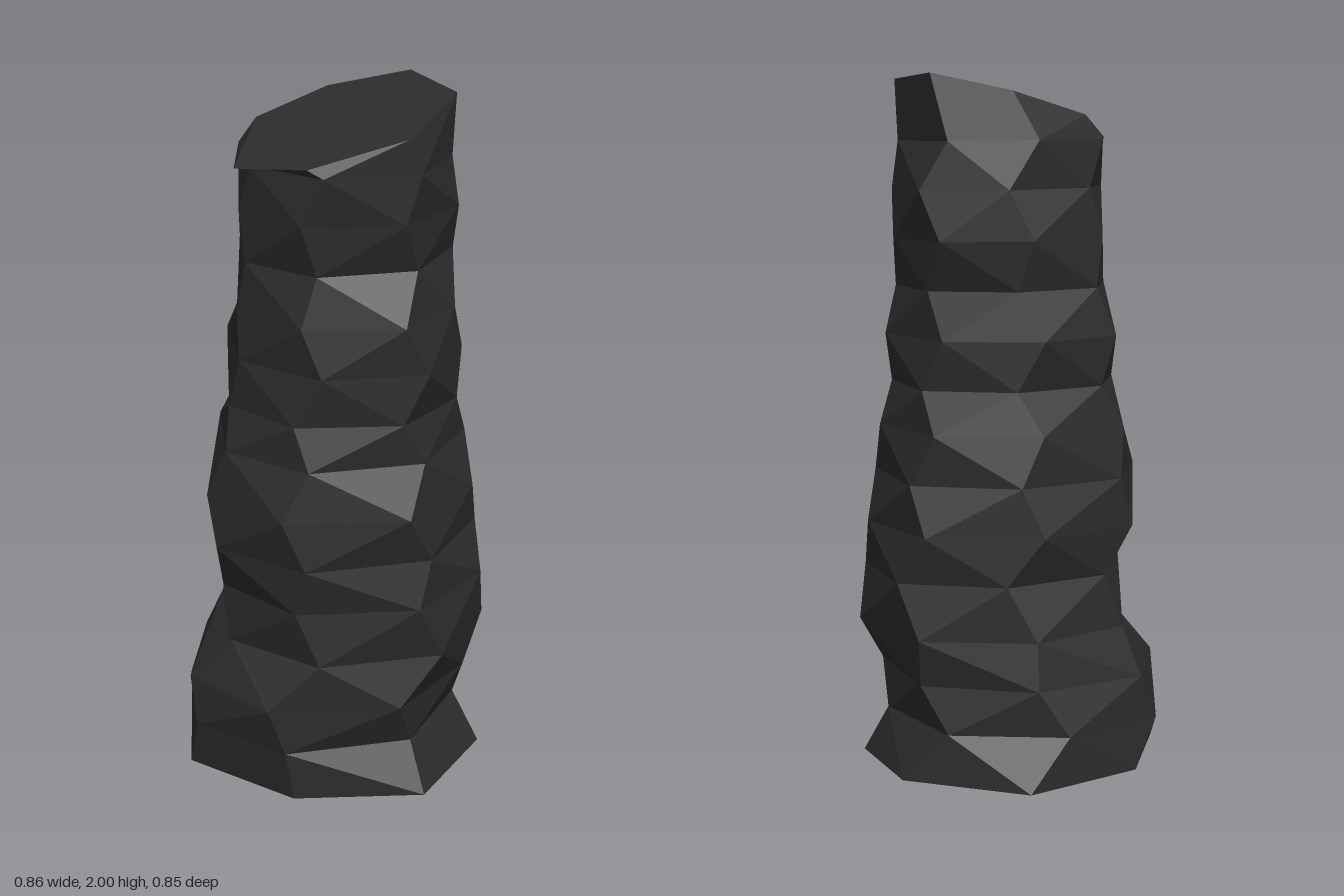
import * as THREE from 'three';

const SIDES = 7;
const ANGLES = [-13, 45, 95, 149, 195, 248, 297];
const TWIST = 10; // every second ring is turned by this many degrees

// Foot and cut top outlines as [x, z]
const FOOT = [[0.425, -0.02], [0.275, 0.315], [-0.09, 0.42], [-0.365, 0.17], [-0.41, -0.2], [-0.1, -0.425], [0.285, -0.39]];
const TOP = [[0.21, 0.085], [0.13, 0.32], [-0.13, 0.378], [-0.345, 0.21], [-0.395, -0.01], [-0.14, -0.175], [0.07, -0.1]];

// Rings between them: height, then extents [y, xMin, xMax, zMin, zMax]
const RINGS = [
  [0.165, -0.43, 0.36, -0.42, 0.35],
  [0.295, -0.425, 0.375, -0.42, 0.375],
  [0.43, -0.365, 0.40, -0.34, 0.42],
  [0.585, -0.365, 0.40, -0.32, 0.405],
  [0.72, -0.41, 0.38, -0.34, 0.405],
  [0.86, -0.41, 0.36, -0.34, 0.405],
  [1.0, -0.385, 0.33, -0.305, 0.385],
  [1.12, -0.355, 0.295, -0.27, 0.365],
  [1.26, -0.35, 0.275, -0.28, 0.405],
  [1.395, -0.345, 0.25, -0.24, 0.38],
  [1.535, -0.335, 0.275, -0.235, 0.35],
  [1.675, -0.345, 0.275, -0.22, 0.37],
  [1.81, -0.35, 0.21, -0.205, 0.395],
];

// Rings lean slightly up towards the back and the left
const tilted = (x, y, z) => [x, Math.max(0, y + 0.03 * x - 0.05 * z), z];

// Seven-sided ring stretched to fill the given extents
function ringPoints([y, x0, x1, z0, z1], turn) {
  const raw = ANGLES.map((a) => {
    const t = THREE.MathUtils.degToRad(a + turn);
    return [Math.cos(t), Math.sin(t)];
  });
  const fit = (v, axis, lo, hi) => {
    const all = raw.map((p) => p[axis]);
    return THREE.MathUtils.mapLinear(v, Math.min(...all), Math.max(...all), lo, hi);
  };
  return raw.map(([x, z]) => tilted(fit(x, 0, x0, x1), y, fit(z, 1, z0, z1)));
}

function buildGeometry(points, index) {
  const g = new THREE.BufferGeometry();
  g.setAttribute('position', new THREE.Float32BufferAttribute(points.flat(), 3));
  g.setIndex(index);
  const flat = g.toNonIndexed();
  flat.computeVertexNormals();
  return flat;
}

// Flat end face as a fan around its middle
function cap(ring, up) {
  const middle = [0, 1, 2].map((k) => ring.reduce((s, p) => s + p[k], 0) / SIDES);
  const index = [];
  for (let i = 0; i < SIDES; i++) {
    const j = (i + 1) % SIDES;
    index.push(SIDES, ...(up ? [j, i] : [i, j]));
  }
  return buildGeometry([...ring, middle], index);
}

export function createModel() {
  const group = new THREE.Group();
  group.name = 'column';
  const charcoal = new THREE.MeshStandardMaterial({ color: 0x2c2c2c, flatShading: true });
  charcoal.name = 'charcoal';

  const rings = [
    FOOT.map(([x, z]) => tilted(x, 0.025, z)),
    ...RINGS.map((r, k) => ringPoints(r, k % 2 ? TWIST : 0)),
    TOP.map(([x, z]) => [x, 1.929 + 0.338 * x, z]),
  ];

  // Faceted trunk wall
  const index = [];
  for (let k = 0; k < rings.length - 1; k++) {
    for (let i = 0; i < SIDES; i++) {
      const j = (i + 1) % SIDES;
      const a = k * SIDES + i, b = k * SIDES + j, c = a + SIDES, d = b + SIDES;
      // Diagonal follows the twist of the ring above
      if (k % 2) index.push(a, c, b, b, c, d);
      else index.push(a, c, d, a, d, b);
    }
  }

  const add = (name, geometry) => {
    const mesh = new THREE.Mesh(geometry, charcoal);
    mesh.name = name;
    group.add(mesh);
  };
  add('trunk', buildGeometry(rings.flat(), index));
  add('slantedTop', cap(rings[rings.length - 1], true));
  add('base', cap(rings[0], false));
  return group;
}
